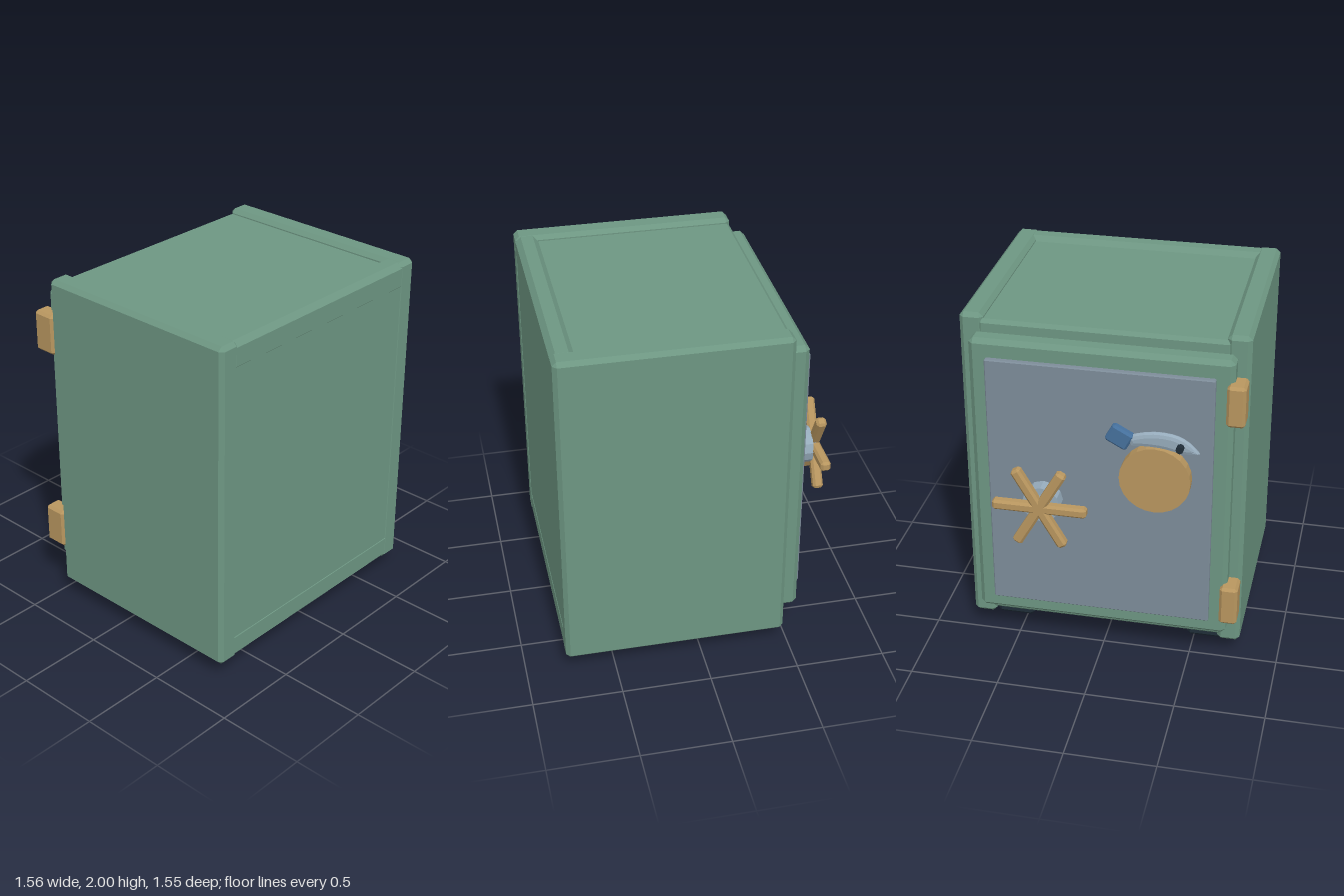
import * as THREE from 'three';
import { ConvexGeometry } from 'three/addons/geometries/ConvexGeometry.js';

const paint = (color) => new THREE.MeshStandardMaterial({ color, flatShading: true });

// Box with every edge cut at 45 degrees, centred on its origin
function chamferBox(w, h, d, c) {
  const pts = [];
  for (const sx of [-1, 1]) for (const sy of [-1, 1]) for (const sz of [-1, 1]) {
    const x = w / 2, y = h / 2, z = d / 2;
    pts.push(
      new THREE.Vector3(sx * x, sy * (y - c), sz * (z - c)),
      new THREE.Vector3(sx * (x - c), sy * y, sz * (z - c)),
      new THREE.Vector3(sx * (x - c), sy * (y - c), sz * z));
  }
  return new ConvexGeometry(pts);
}

export function createModel() {
  const model = new THREE.Group();
  model.name = 'safe';
  const green = paint(0x6d9682), steel = paint(0x7d8c99), brass = paint(0xb8965f);
  const dark = paint(0x1f2d38), blue = paint(0x45709c), silver = paint(0x96abbb);

  const add = (name, geometry, material, x = 0, y = 0, z = 0, parent = model) => {
    const mesh = new THREE.Mesh(geometry, material);
    mesh.name = name;
    mesh.position.set(x, y, z);
    parent.add(mesh);
    return mesh;
  };
  // Chamfered block given by its limits
  const block = (name, material, [x0, x1], [y0, y1], [z0, z1], c) =>
    add(name, chamferBox(x1 - x0, y1 - y0, z1 - z0, c), material,
      (x0 + x1) / 2, (y0 + y1) / 2, (z0 + z1) / 2);

  // Body: recessed core, thick side walls, front rails and front panel
  block('bodyCore', green, [-0.68, 0.68], [0.125, 1.97], [-0.475, 0.755], 0.02);
  block('leftWall', green, [0.65, 0.78], [0.09, 2], [-0.475, 0.775], 0.023);
  block('rightWall', green, [-0.78, -0.65], [0.09, 2], [-0.475, 0.775], 0.023);
  block('topRail', green, [-0.7, 0.7], [1.835, 1.999], [0.645, 0.774], 0.03);
  block('bottomRail', green, [-0.7, 0.7], [0.091, 0.255], [0.645, 0.774], 0.03);
  add('frontPanel', new THREE.BoxGeometry(1.34, 1.65, 0.1), green, 0, 1.045, 0.721);

  // Feet
  for (const x of [-0.567, 0.567]) for (const z of [-0.23, 0.527])
    add('foot', chamferBox(0.225, 0.14, 0.24, 0.025), dark, x, 0.07, z);

  // Door with its steel plate and hinges
  block('door', green, [-0.71, 0.71], [0.2, 1.9], [-0.57, -0.45], 0.026);
  block('doorPlate', steel, [-0.615, 0.615], [0.3, 1.8], [-0.6, -0.55], 0.006);
  for (const y of [0.42, 1.66])
    add('hinge', chamferBox(0.1, 0.235, 0.14, 0.015), brass, -0.725, y, -0.543);

  // Dial disc
  add('dial', new THREE.CylinderGeometry(0.193, 0.193, 0.06, 24).rotateX(Math.PI / 2),
    brass, -0.315, 1.21, -0.635);

  // Lever: lens-shaped arched blade, grip and pivot pin
  const lever = new THREE.Group();
  lever.name = 'lever';
  model.add(lever);
  const outline = new THREE.Shape();
  outline.moveTo(-0.55, 1.385);
  outline.quadraticCurveTo(-0.49, 1.47, -0.4, 1.485);
  outline.quadraticCurveTo(-0.28, 1.505, -0.16, 1.45);
  outline.lineTo(-0.185, 1.395);
  outline.quadraticCurveTo(-0.32, 1.41, -0.41, 1.385);
  outline.quadraticCurveTo(-0.48, 1.365, -0.55, 1.385);
  const blade = new THREE.ExtrudeGeometry(outline, {
    depth: 0.004, bevelEnabled: true, bevelThickness: 0.021, bevelSize: 0.025,
    bevelOffset: -0.025, bevelSegments: 2, curveSegments: 5 });
  add('blade', blade, silver, 0, 0, -0.634, lever);
  const grip = add('grip', chamferBox(0.13, 0.105, 0.05, 0.012), blue, -0.122, 1.443, -0.633, lever);
  grip.rotation.z = 0.5;
  add('pivotPin', new THREE.CylinderGeometry(0.021, 0.021, 0.05, 8).rotateX(Math.PI / 2),
    dark, -0.45, 1.425, -0.665, lever);

  // Spoked wheel on its hub
  const wheel = new THREE.Group();
  wheel.name = 'spokedWheel';
  wheel.position.set(0.295, 1.02, 0);
  model.add(wheel);
  add('hub', new THREE.CylinderGeometry(0.105, 0.105, 0.08, 12).rotateX(Math.PI / 2),
    silver, 0, 0, -0.68, wheel);
  add('hubBoss', new THREE.CylinderGeometry(0.06, 0.06, 0.03, 12).rotateX(Math.PI / 2),
    silver, 0, 0, -0.732, wheel);
  for (let i = 0; i < 3; i++) {
    const bar = add('spokePair', chamferBox(0.52, 0.058, 0.058, 0.013), brass, 0, 0, -0.746, wheel);
    bar.rotation.z = i * Math.PI / 3;
  }
  return model;
}
